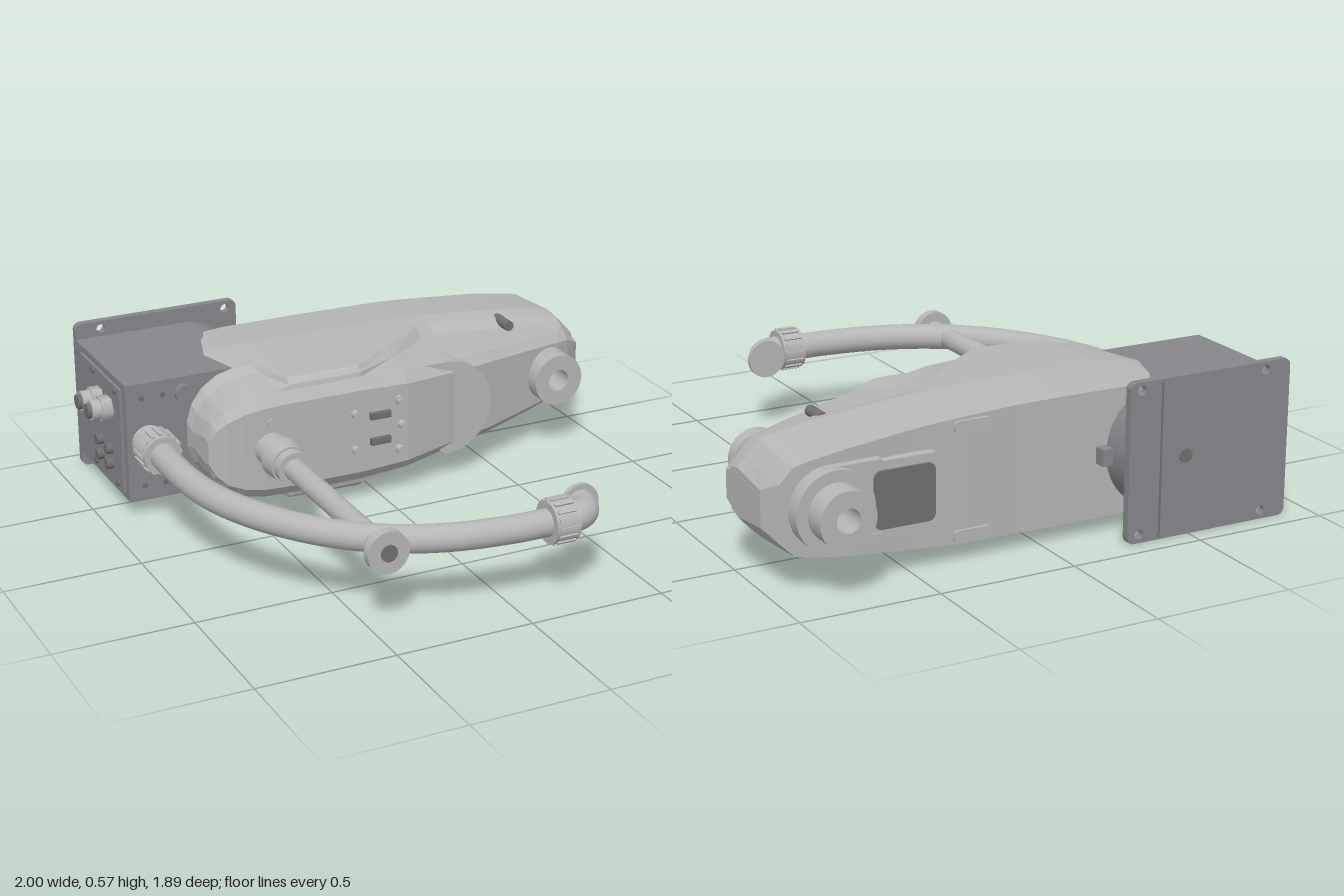
import * as THREE from 'three';

const CY = 0.285; // height of the machine's mirror plane

export function createModel() {
  const root = new THREE.Group();
  root.name = 'robotArm';
  const mat = (name, color, side = THREE.FrontSide) => {
    const m = new THREE.MeshStandardMaterial({ color, side });
    m.name = name;
    return m;
  };
  const shell = mat('light grey', 0xb6b6b6);
  const baseGrey = mat('base grey', 0x87868b);
  const dark = mat('dark grey', 0x707072);

  const add = (name, geo, material, x = 0, y = 0, z = 0) => {
    const m = new THREE.Mesh(geo, material);
    m.name = name;
    m.position.set(x, y, z);
    root.add(m);
    return m;
  };
  // Cylinder between two z values (or two x values)
  const cylZ = (name, r, z0, z1, x, y, material = shell, r2 = r, seg = 32) => {
    const m = add(name, new THREE.CylinderGeometry(r2, r, z1 - z0, seg), material, x, y, (z0 + z1) / 2);
    m.rotation.x = Math.PI / 2;
    return m;
  };
  const cylX = (name, r, x0, x1, y, z, material = shell, seg = 32) => {
    const m = add(name, new THREE.CylinderGeometry(r, r, x1 - x0, seg), material, (x0 + x1) / 2, y, z);
    m.rotation.z = Math.PI / 2;
    return m;
  };
  const box = (name, w, h, d, x, y, z, material = shell) =>
    add(name, new THREE.BoxGeometry(w, h, d), material, x, y, z);
  const plate = (name, shape, z0, z1, material) =>
    add(name, new THREE.ExtrudeGeometry(shape, { depth: z1 - z0, bevelEnabled: false, curveSegments: 24 }), material, 0, 0, z0);
  const roundRect = (x0, y0, x1, y1, r) => {
    const s = new THREE.Shape();
    s.absarc(x1 - r, y1 - r, r, 0, Math.PI / 2);
    s.absarc(x0 + r, y1 - r, r, Math.PI / 2, Math.PI);
    s.absarc(x0 + r, y0 + r, r, Math.PI, Math.PI * 1.5);
    s.absarc(x1 - r, y0 + r, r, Math.PI * 1.5, Math.PI * 2);
    s.closePath();
    return s;
  };

  // Arm shell: stations [x, half height, crease z, front z, front half height, back z]
  const stations = [
    [-0.67, 0.06, -0.37, -0.17, 0.05, -0.77],
    [-0.65, 0.125, -0.37, -0.15, 0.105, -0.78],
    [-0.61, 0.18, -0.37, -0.13, 0.15, -0.78],
    [-0.55, 0.22, -0.37, -0.12, 0.18, -0.78],
    [-0.48, 0.238, -0.37, -0.115, 0.195, -0.78],
    [-0.41, 0.243, -0.36, -0.115, 0.2, -0.78],
    [-0.36, 0.247, -0.18, -0.115, 0.2, -0.78],
    [-0.08, 0.248, -0.17, -0.115, 0.2, -0.78],
    [0.1, 0.246, -0.3, -0.12, 0.19, -0.78],
    [0.3, 0.24, -0.46, -0.17, 0.175, -0.79],
    [0.36, 0.237, -0.48, -0.185, 0.172, -0.79],
    [0.5, 0.226, -0.48, -0.225, 0.165, -0.79],
    [0.73, 0.203, -0.48, -0.305, 0.145, -0.8],
    [0.87, 0.182, -0.48, -0.355, 0.13, -0.8],
    [0.92, 0.17, -0.48, -0.38, 0.12, -0.8],
    [0.97, 0.12, -0.48, -0.42, 0.085, -0.8],
    [1.0, 0.085, -0.49, -0.45, 0.06, -0.72],
  ];
  const sections = stations.map(([x, H, zc, zf, Hf, zb]) => {
    const core = Math.min(0.07, Hf * 0.4);
    const zs = Math.min(zc + 0.045, zf - 0.035);
    const top = [[core, zb], [H - 0.02, zb], [H, -0.54], [H - 0.012, zc],
      [Math.min(H - 0.03, Hf + 0.018), zs], [Hf, zf - 0.03], [Hf * 0.8, zf], [core, zf]];
    const bottom = top.map(([h, z]) => [-h, z]).reverse();
    return [...top, ...bottom].map(([h, z]) => [x, CY + h, z]);
  });
  const pos = [];
  const tri = (a, b, c) => pos.push(...a, ...b, ...c);
  const n = sections[0].length;
  for (let i = 0; i < sections.length - 1; i++) {
    for (let j = 0; j < n; j++) {
      // leave the passage for the hollow spindle open
      if (stations[i][0] === 0.73 && (j === 7 || j === n - 1)) continue;
      const k = (j + 1) % n;
      const [a, b, c, d] = [sections[i][j], sections[i][k], sections[i + 1][k], sections[i + 1][j]];
      tri(a, b, d);
      tri(b, c, d);
    }
  }
  const first = sections[0], last = sections[sections.length - 1];
  for (let j = 0; j < n; j++) {
    const k = (j + 1) % n;
    tri([first[0][0], CY, -0.4], first[k], first[j]);
    tri([last[0][0], CY, -0.52], last[j], last[k]);
  }
  const armGeo = new THREE.BufferGeometry();
  armGeo.setAttribute('position', new THREE.Float32BufferAttribute(pos, 3));
  armGeo.computeVertexNormals();
  add('armShell', armGeo, shell);

  // Rounded boss on the front of the arm
  const boss = new THREE.Shape();
  boss.moveTo(-0.2, CY - 0.185);
  boss.absarc(0.285, CY, 0.185, -Math.PI / 2, Math.PI / 2);
  boss.lineTo(-0.2, CY + 0.185);
  boss.closePath();
  plate('frontBoss', boss, -0.34, -0.175, shell);

  // Hollow spindle through the arm tip, with its collar
  const ring = (name, ri, ro, z0, z1, x, y) => {
    const pts = [[ri, z0], [ro, z0], [ro, z1], [ri, z1], [ri, z0]].map(p => new THREE.Vector2(...p));
    // duplicated corners keep the edges sharp
    const sharp = pts.flatMap((p, i) => (i && i < 4 ? [p, p.clone()] : [p]));
    const m = add(name, new THREE.LatheGeometry(sharp, 40), mat2, x, y, 0);
    m.rotation.x = Math.PI / 2;
  };
  const mat2 = mat('tube grey', 0xb6b6b6, THREE.DoubleSide);
  ring('spindle', 0.042, 0.1, -0.95, -0.235, 0.8, CY);
  ring('spindleCollar', 0.095, 0.14, -0.86, -0.78, 0.8, CY);
  // Covers on the back of the arm
  plate('backCover', roundRect(0.4, CY - 0.13, 0.7, CY + 0.13, 0.03), -0.825, -0.78, shell);
  plate('backCoverPanel', roundRect(0.43, CY - 0.1, 0.65, CY + 0.1, 0.025), -0.835, -0.82, dark);
  for (const s of [-1, 1]) {
    plate('backSlot', roundRect(0.2, CY + s * 0.19 - 0.02, 0.34, CY + s * 0.19 + 0.02, 0.015), -0.8, -0.77, shell);
    box('collarWing', 0.2, 0.03, 0.04, 0.72, CY + s * 0.125, -0.81);
    cylZ('tipScrew', 0.02, -0.5, -0.4, 0.67, CY + s * 0.187, dark, 0.02, 16);
  }

  // Base housing: flat on the left, round about the shoulder axis
  const housing = new THREE.Shape();
  housing.moveTo(-0.9, CY - 0.225);
  housing.lineTo(-0.48, CY - 0.225);
  housing.absarc(-0.48, CY, 0.225, -Math.PI / 2, Math.PI / 2);
  housing.lineTo(-0.9, CY + 0.225);
  housing.closePath();
  plate('baseHousing', housing, -0.9, -0.375, baseGrey);

  // Mounting plate with four bolt holes
  const flange = roundRect(-0.9, 0, -0.255, 0.57, 0.025);
  for (const x of [-0.8, -0.3]) for (const y of [0.03, 0.54]) {
    const hole = new THREE.Path();
    hole.absarc(x, y, 0.017, 0, Math.PI * 2, true);
    flange.holes.push(hole);
  }
  plate('mountingPlate', flange, -0.925, -0.895, baseGrey);
  box('plateSeam', 0.006, 0.55, 0.004, -0.38, CY, -0.926, dark);
  cylZ('plateCentrePin', 0.025, -0.93, -0.92, -0.48, CY, dark, 0.025, 20);
  box('stopBlock', 0.04, 0.06, 0.05, -0.235, CY, -0.8, baseGrey);

  // Fittings on the front of the base
  for (const s of [-1, 1]) {
    cylZ('basePlug', 0.034, -0.38, -0.355, -0.68, CY + s * 0.165, baseGrey);
    for (const x of [-0.84, -0.76]) cylZ('baseScrew', 0.01, -0.38, -0.368, x, CY + s * 0.17, dark, 0.01, 12);
  }

  // Connector panel on the left end of the base
  box('connectorPanel', 0.012, 0.4, 0.42, -0.904, CY, -0.62, baseGrey);
  for (const z of [-0.62, -0.52]) {
    cylX('glandNut', 0.048, -0.95, -0.905, 0.38, z, shell, 6);
    cylX('glandBody', 0.038, -0.985, -0.945, 0.38, z);
    cylX('glandTip', 0.028, -1.0, -0.98, 0.38, z, dark);
    for (const y of [0.16, 0.22]) cylX('smallPort', 0.02, -0.935, -0.9, y, z, dark, 16);
  }
  for (const y of [0.11, 0.47]) for (const z of [-0.45, -0.68]) cylX('panelScrew', 0.012, -0.92, -0.9, y, z, dark, 12);

  // Connectors and screws on the front of the arm
  const panelZ = -0.115;
  for (const [x, y] of [[-0.12, 0.36], [-0.12, 0.22], [0.06, 0.38], [0.06, 0.19], [0.07, 0.285]])
    cylZ('armFitting', 0.016, panelZ - 0.02, panelZ + 0.022, x, y, shell, 0.014, 16);
  for (const y of [0.24, 0.34]) box('armSocket', 0.08, 0.025, 0.025, -0.02, y, panelZ + 0.005, dark);
  for (const s of [-1, 1]) for (const x of [-0.45, 0.06])
    cylZ('coverScrew', 0.015, -0.14, -0.105, x, CY + s * 0.1, shell, 0.015, 16);

  // Straight post with stepped collar and foot
  cylZ('post', 0.04, -0.13, 0.82, -0.45, CY);
  cylZ('postSocket', 0.062, -0.13, -0.02, -0.45, CY);
  cylZ('postCollar', 0.076, -0.03, 0.05, -0.45, CY, shell, 0.07);
  cylZ('postCollarLip', 0.062, 0.05, 0.09, -0.45, CY);
  cylZ('postFoot', 0.076, 0.805, 0.84, -0.45, CY);
  cylZ('postFootCentre', 0.03, 0.84, 0.846, -0.45, CY, dark);

  // Curved hose
  const curve = pts => new THREE.CatmullRomCurve3(pts.map(([x, z]) => new THREE.Vector3(x, CY, z)));
  const hosePath = curve([[-0.82, -0.25], [-0.82, 0], [-0.79, 0.2], [-0.71, 0.4], [-0.58, 0.59],
    [-0.42, 0.73], [-0.22, 0.82], [0, 0.858], [0.15, 0.862]]);
  add('hose', new THREE.TubeGeometry(hosePath, 64, 0.049, 20), shell);

  // Ribbed hose couplings
  cylZ('hoseCouplingBase', 0.062, -0.38, -0.32, -0.82, CY);
  cylZ('hoseCoupling', 0.074, -0.33, -0.225, -0.82, CY, shell, 0.07);
  cylX('elbowCoupling', 0.076, 0.125, 0.215, CY, 0.862);
  for (let i = 0; i < 16; i++) {
    const a = i / 16 * Math.PI * 2, c = Math.cos(a), s = Math.sin(a);
    box('couplingRib', 0.012, 0.012, 0.08, -0.82 + c * 0.073, CY + s * 0.073, -0.28).rotation.z = a;
    box('elbowRib', 0.07, 0.012, 0.012, 0.17, CY + s * 0.076, 0.862 + c * 0.076).rotation.x = -a;
  }

  // Elbow and end flange
  const elbow = curve([[0.2, 0.862], [0.235, 0.86], [0.27, 0.845], [0.293, 0.815], [0.3, 0.775]]);
  add('elbow', new THREE.TubeGeometry(elbow, 20, 0.053, 20), shell);
  cylZ('elbowFlange', 0.072, 0.765, 0.782, 0.3, CY);

  return root;
}
